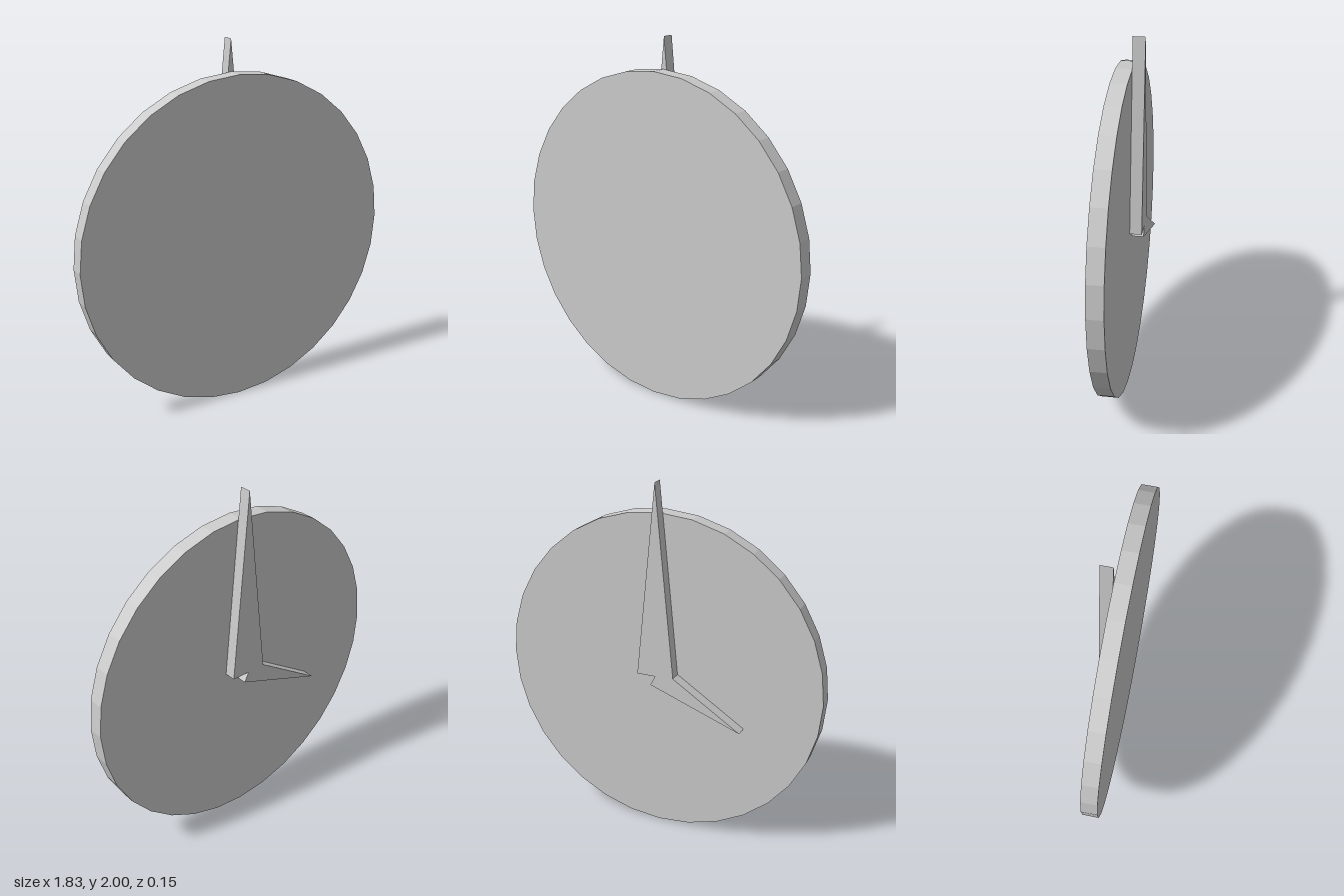
import * as THREE from 'three';

const RADIUS = 0.915;
const BACK = -0.012;            // plane where the hands meet the disc
const material = new THREE.MeshStandardMaterial({ color: 0xcccccc, flatShading: true });

// Tapered triangular hand pointing up from its pivot, then turned about z
function makeHand(name, length, halfWidth, angle) {
  const shape = new THREE.Shape();
  shape.moveTo(-halfWidth, 0);
  shape.lineTo(halfWidth, 0);
  shape.lineTo(0, length);
  shape.closePath();
  const geometry = new THREE.ExtrudeGeometry(shape, { depth: 0.065, bevelEnabled: false });
  const hand = new THREE.Mesh(geometry, material);
  hand.name = name;
  hand.position.set(0, 0.94, BACK - 0.065);
  hand.rotation.z = angle;
  return hand;
}

export function createModel() {
  const group = new THREE.Group();
  group.name = 'clock';

  // Round clock face standing upright
  const disc = new THREE.CylinderGeometry(RADIUS, RADIUS, 0.089, 32);
  disc.rotateX(Math.PI / 2);
  const face = new THREE.Mesh(disc, material);
  face.name = 'clockFace';
  face.position.set(0, RADIUS, BACK + 0.0445);
  group.add(face);

  // Hands on the -z side
  group.add(makeHand('minuteHand', 1.06, 0.105, 0));
  group.add(makeHand('hourHand', 0.548, 0.061, THREE.MathUtils.degToRad(116.6)));
  return group;
}
